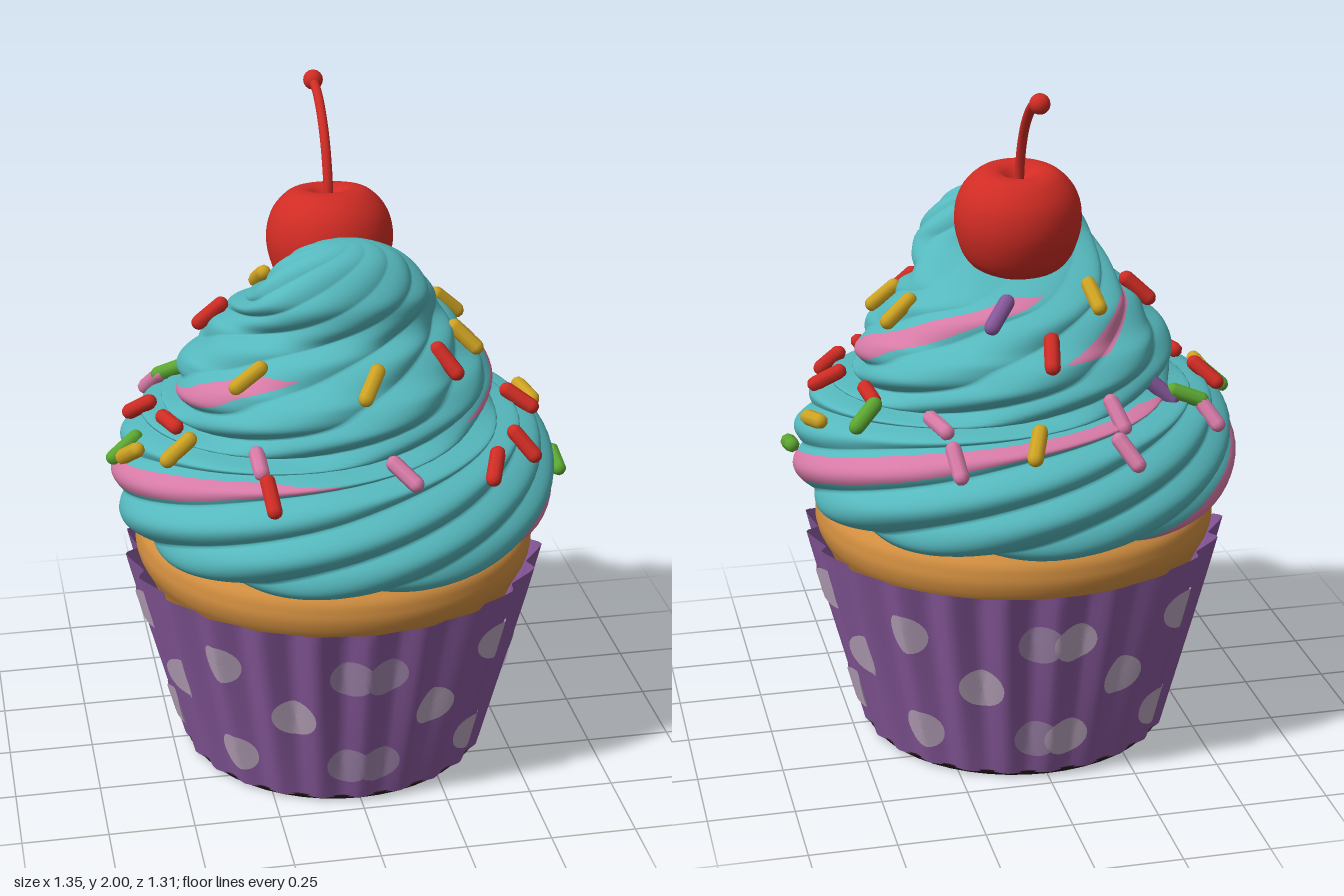
import * as THREE from 'three';

const mat = (name, color) => {
  const m = new THREE.MeshStandardMaterial({ color });
  m.name = name;
  return m;
};
const rad = THREE.MathUtils.degToRad;

// Grid surface closed around its columns; pick(i, j) chooses the material index of a cell
function ringSurface(cols, rows, point, pick = () => 0) {
  const pos = [], faces = [[], []];
  for (let j = 0; j <= rows; j++)
    for (let i = 0; i < cols; i++) pos.push(...point(i / cols, j / rows));
  for (let j = 0; j < rows; j++)
    for (let i = 0; i < cols; i++) {
      const n = (i + 1) % cols;
      const a = j * cols + i, b = j * cols + n, c = b + cols, d = a + cols;
      faces[pick(i, j)].push(a, b, c, a, c, d);
    }
  const g = new THREE.BufferGeometry();
  g.setAttribute('position', new THREE.Float32BufferAttribute(pos, 3));
  g.setIndex([...faces[0], ...faces[1]]);
  g.addGroup(0, faces[0].length, 0);
  if (faces[1].length) g.addGroup(faces[0].length, faces[1].length, 1);
  g.computeVertexNormals();
  return g;
}

// Pleated paper cup, theta measured from the front towards +x, v from 0 (bottom) to 1 (rim)
function cupPoint(theta, v, lift = 0) {
  const pleat = Math.asin(0.95 * Math.cos(24 * theta)) / 1.25;
  const r = 0.455 + 0.15 * v + (0.007 + 0.013 * v) * pleat + lift;
  const y = 0.015 + 0.62 * v + 0.01 * pleat * v ** 8;
  return [r * Math.sin(theta), y, r * Math.cos(theta)];
}

// Frosting profile: radius, height, twist in degrees
const profile = new THREE.CatmullRomCurve3([
  [0.42, 0.78, 40], [0.52, 0.735, 52], [0.61, 0.77, 68], [0.643, 0.86, 92], [0.628, 0.96, 125],
  [0.585, 1.035, 155], [0.53, 1.075, 190], [0.45, 1.105, 240], [0.455, 1.185, 285], [0.43, 1.245, 302],
  [0.385, 1.285, 318], [0.345, 1.345, 340], [0.3, 1.385, 365], [0.275, 1.44, 395], [0.235, 1.52, 430],
  [0.165, 1.595, 465], [0.08, 1.635, 500], [0.001, 1.645, 530],
].map(([r, y, w]) => new THREE.Vector3(r, y, w / 100)), false, 'catmullrom', 0.5);

function frostingPoint(u, t) {
  const phi = u * Math.PI * 2, p = profile.getPoint(t);
  const lobe = Math.abs(Math.cos(4.5 * phi)) - 0.6;
  const r = p.x * (1 + 0.055 * lobe);
  const y = p.y - (t < 0.18 ? 0.03 * lobe * (1 - t / 0.18) : 0);
  const s = THREE.MathUtils.smoothstep(y, 1.37, 1.5); // the tip leans forward and flattens
  const theta = phi + rad(p.z * 100);
  return [r * Math.sin(theta), y, r * Math.cos(theta) * (1 - 0.42 * s) + 0.155 * s];
}

// Highest frosting level at a distance from the axis
function frostingHeight(x, z) {
  const dist = Math.hypot(x, z);
  for (let t = 0.72; t > 0.15; t -= 0.004) {
    const p = profile.getPoint(t);
    if (p.x >= dist) return p.y;
  }
  return 0.87;
}

export function createModel() {
  const model = new THREE.Group();
  model.name = 'cupcake';
  const teal = mat('teal frosting', 0x55b8bd), pink = mat('pink', 0xd67aa6);
  const red = mat('red', 0xd02c24), yellow = mat('yellow', 0xcfa423);
  const green = mat('green', 0x5da832), purple = mat('purple', 0x87589b);
  const cakeMat = mat('golden cake', 0xd08d3f), dark = mat('dark base', 0x2b1b22);
  const paleDot = mat('pale dots', 0xb8a3bb), fadedDot = mat('faded dots', 0xa286ae);
  for (const m of [purple, paleDot, fadedDot]) m.side = THREE.DoubleSide;

  const add = (name, geometry, material, parent = model) => {
    const m = new THREE.Mesh(geometry, material);
    m.name = name;
    parent.add(m);
    return m;
  };
  const lathe = (pts, seg = 64) =>
    new THREE.LatheGeometry(new THREE.SplineCurve(pts.map(p => new THREE.Vector2(...p))).getPoints(40), seg);

  // Paper cup and its base
  add('paperCup', ringSurface(192, 16, (u, v) => cupPoint(u * Math.PI * 2, v)), purple);
  add('cupBase', new THREE.CylinderGeometry(0.456, 0.44, 0.02, 48), dark).position.y = 0.01;

  // Three staggered rows of dots that follow the pleats
  const dots = new THREE.Group();
  dots.name = 'polkaDots';
  model.add(dots);
  const addDot = (deg, y, material, lift) => {
    const v0 = (y - 0.015) / 0.62, r0 = 0.455 + 0.15 * v0;
    add('dot', ringSurface(24, 7, (u, w) => {
      const a = u * Math.PI * 2, d = 0.064 * (1 - w);
      return cupPoint(rad(deg) + d * Math.cos(a) / r0, v0 + d * Math.sin(a) / 0.62, lift);
    }), material, dots);
  };
  for (let k = 0; k < 8; k++) {
    const deg = k * 45;
    addDot(deg + 22.5, 0.32, k === 1 ? fadedDot : paleDot, 0.005);
    for (const y of [0.14, 0.475]) {
      if (k % 2) addDot(deg, y, paleDot, 0.005);
      else { // overlapping pairs
        addDot(deg - 5, y, fadedDot, 0.004);
        addDot(deg + 5, y, k ? paleDot : fadedDot, 0.007);
      }
    }
  }

  // Cake between cup and frosting
  add('cake', lathe([[0.5, 0.45], [0.555, 0.58], [0.585, 0.64], [0.59, 0.69], [0.565, 0.74], [0.45, 0.79], [0, 0.81]]), cakeMat);

  // Twisted frosting with pink ribbons that dip under the tier edge
  const cols = 180, rows = 102;
  const ribbons = [ // first and last degree, start and end along the profile
    [-14, 12, 0, 0.4], [-10, 10, 0.45, 0.605],
    [148, 174, 0, 0.335], [150, 172, 0.425, 0.72],
    [242, 262, 0.53, 0.67],
  ];
  const ribbon = (i, j) => {
    const t = j / rows, deg = i * 360 / cols;
    return ribbons.some(([d0, d1, t0, t1]) =>
      (deg - d0 + 360) % 360 < d1 - d0 && t >= t0 && t < t1) ? 1 : 0;
  };
  add('frosting', ringSurface(cols, rows, frostingPoint, ribbon), [teal, pink]);

  // Cherry with stem
  const cherry = new THREE.Group();
  cherry.name = 'cherry';
  model.add(cherry);
  const fruit = add('cherryFruit', lathe([[0, -0.155], [0.08, -0.148], [0.15, -0.1], [0.182, 0], [0.168, 0.09],
    [0.115, 0.15], [0.06, 0.155], [0.02, 0.125], [0, 0.12]], 40), red, cherry);
  fruit.position.set(0, 1.565, -0.055);
  fruit.rotation.x = -0.12;
  const stem = new THREE.CatmullRomCurve3([[1.66, -0.07], [1.75, -0.085], [1.86, -0.14], [1.94, -0.23], [1.968, -0.31]]
    .map(([y, z]) => new THREE.Vector3(0, y, z)));
  add('cherryStem', new THREE.TubeGeometry(stem, 24, 0.014, 10), red, cherry);
  const tip = add('stemTip', new THREE.SphereGeometry(0.029, 16, 12), red, cherry);
  tip.position.set(0, 1.969, -0.32);

  // Sprinkles: ends of each one seen from above (x, z, x, z)
  const sprinkles = [
    [pink, [[-.21, -.59, -.17, -.54], [.27, -.57, .28, -.49], [-.21, -.5, -.17, -.39], [.28, -.46, .32, -.35],
      [-.51, -.37, -.46, -.3], [-.28, .37, -.28, .45], [.04, .46, .16, .59]]],
    [yellow, [[.08, -.6, .04, -.51], [-.18, -.31, -.16, -.2], [.58, -.15, .61, -.04], [.3, -.09, .4, -.1],
      [-.62, .07, -.58, .14], [.3, .1, .41, .15], [-.52, .27, -.44, .23], [-.35, .26, -.22, .27], [.08, .33, -.01, .44]]],
    [red, [[-.01, -.43, -.02, -.38], [.44, -.19, .45, -.09], [-.59, -.12, -.51, -.05], [-.38, -.1, -.3, -.08],
      [-.5, .05, -.47, .14], [.47, .05, .59, .11], [.21, .21, .33, .33], [.45, .29, .52, .35],
      [-.27, .48, -.26, .56], [.39, .4, .35, .5]]],
    [green, [[-.46, -.31, -.4, -.3], [.52, -.29, .43, -.22], [-.64, .05, -.58, .05], [.64, .06, .64, .13]]],
    [purple, [[.16, -.35, .06, -.27], [-.38, -.3, -.33, -.29]]],
  ];
  const group = new THREE.Group();
  group.name = 'sprinkles';
  model.add(group);
  const capsule = new THREE.CapsuleGeometry(0.023, 0.085, 4, 8);
  const up = new THREE.Vector3(0, 1, 0);
  for (const [material, list] of sprinkles)
    for (const [x1, z1, x2, z2] of list) {
      const x = (x1 + x2) / 2, z = (z1 + z2) / 2, span = Math.hypot(x2 - x1, z2 - z1);
      const climb = frostingHeight(x2, z2) - frostingHeight(x1, z1);
      const rise = THREE.MathUtils.clamp(climb, -0.9 * span, 0.9 * span);
      const s = add('sprinkle', capsule, material, group);
      // sit on the surface, pushed slightly outwards
      s.position.set(x * 1.02, frostingHeight(x, z) + 0.02, z * 1.02);
      s.quaternion.setFromUnitVectors(up, new THREE.Vector3(x2 - x1, rise, z2 - z1).normalize());
    }
  return model;
}
